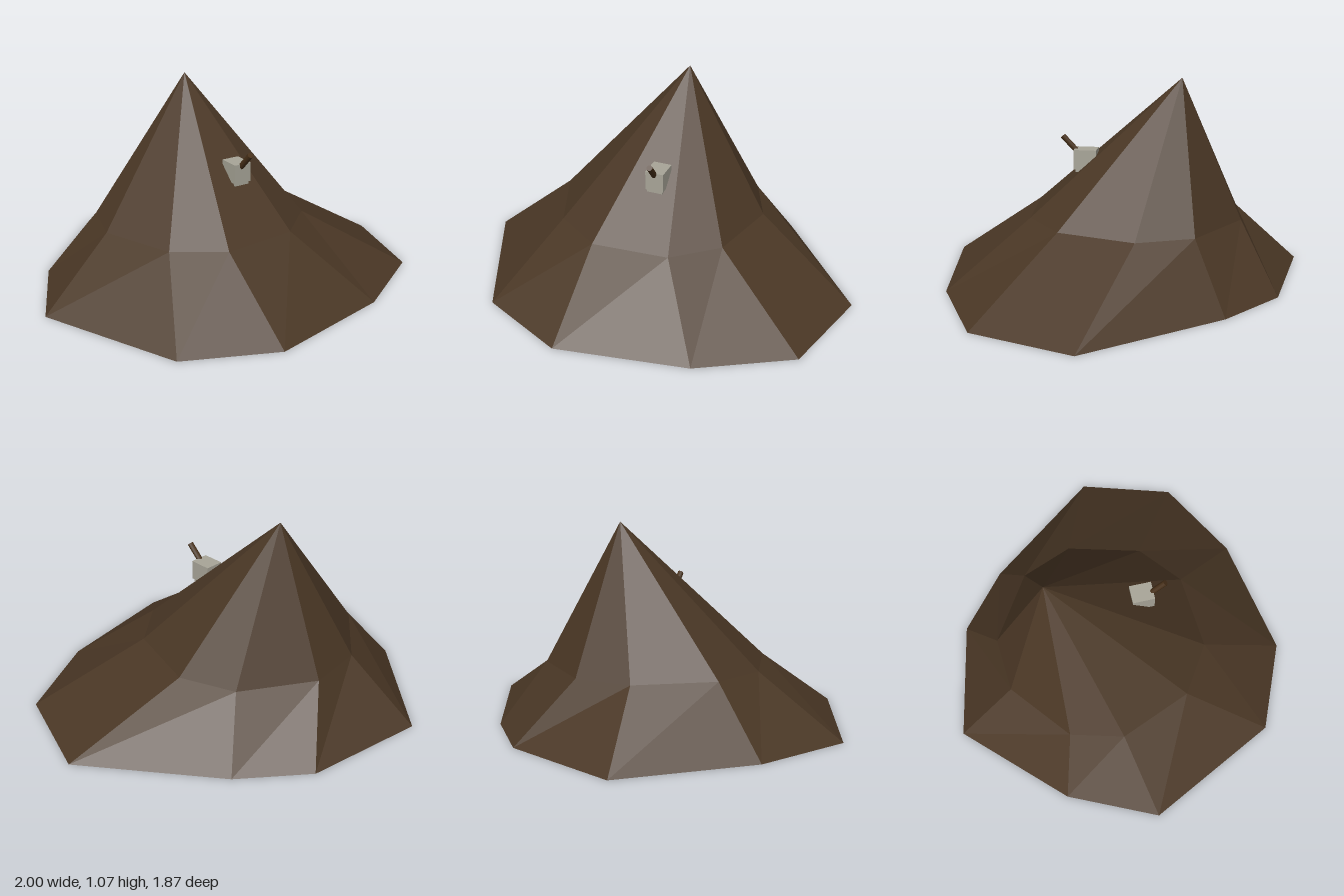
import * as THREE from 'three';

// Outlines listed clockwise as seen from above: [x, z]
const BASE = [[-1, -0.45], [-0.5, -0.86], [-0.1, -0.935], [0.7, -0.9], [1, -0.44],
  [0.9, 0.09], [0.555, 0.7], [0.095, 0.93], [-0.685, 0.735], [-0.915, 0.26]];
const SHOULDER = [[-0.67, -0.31], [-0.5, -0.555], [-0.1, -0.685], [0.19, -0.59], [0.43, -0.25],
  [0.43, 0.05], [0.19, 0.39], [-0.1, 0.48], [-0.5, 0.35], [-0.67, 0.11]];
const APEX = [-0.28, 1.065, -0.31];

// Faceted mountain: flared skirt, cone to an off-centre peak, closed underside
function mountainGeometry() {
  const low = BASE.map(([x, z]) => [x, 0, z]);
  const mid = SHOULDER.map(([x, z]) => [x, 0.33, z]);
  const points = [];
  const tri = (a, b, c) => points.push(...a, ...b, ...c);
  for (let i = 0; i < low.length; i++) {
    const j = (i + 1) % low.length;
    tri(low[j], low[i], mid[i]);
    tri(low[j], mid[i], mid[j]);
    tri(mid[j], mid[i], APEX);
    tri([0, 0, 0], low[i], low[j]);
  }
  const g = new THREE.BufferGeometry();
  g.setAttribute('position', new THREE.Float32BufferAttribute(points, 3));
  g.computeVertexNormals();
  return g;
}

export function createModel() {
  const earth = new THREE.MeshStandardMaterial({ color: 0x4a3725 });
  const stone = new THREE.MeshStandardMaterial({ color: 0xa8a598 });
  const wood = new THREE.MeshStandardMaterial({ color: 0x483018 });
  const model = new THREE.Group();
  const add = (name, geometry, material, parent = model) => {
    const mesh = new THREE.Mesh(geometry, material);
    mesh.name = name;
    parent.add(mesh);
    return mesh;
  };

  add('mountain', mountainGeometry(), earth);

  // Stone block set into the slope, local +x pointing out of the hillside
  const block = new THREE.Group();
  block.name = 'stoneBlock';
  block.position.set(0.115, 0, 0);
  block.rotation.y = -0.7;
  model.add(block);
  add('blockBody', new THREE.BoxGeometry(0.12, 0.105, 0.1), stone, block).position.y = 0.6265;
  add('blockFoot', new THREE.BoxGeometry(0.105, 0.03, 0.085), stone, block).position.y = 0.573;

  // Wooden pole leaning outwards from the block
  const start = new THREE.Vector3(0.13, 0.635, 0.02);
  const end = new THREE.Vector3(0.212, 0.745, 0.08);
  const axis = end.clone().sub(start);
  const pole = add('pole', new THREE.CylinderGeometry(0.016, 0.016, axis.length(), 8), wood);
  pole.position.copy(start).add(end).multiplyScalar(0.5);
  pole.quaternion.setFromUnitVectors(new THREE.Vector3(0, 1, 0), axis.normalize());

  return model;
}
